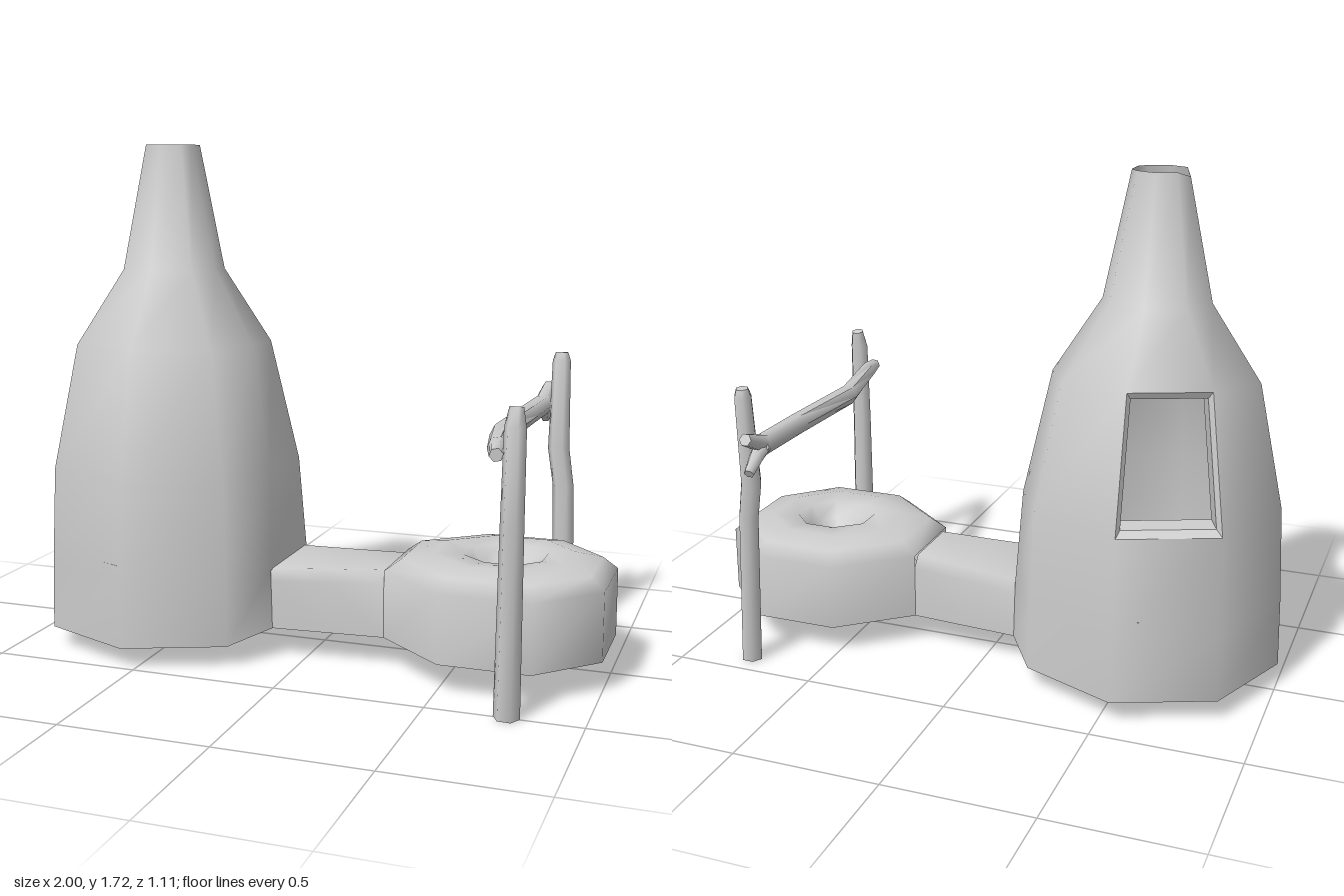
import * as THREE from 'three';
import { toCreasedNormals } from 'three/addons/utils/BufferGeometryUtils.js';

const clay = new THREE.MeshStandardMaterial({ color: 0xcccccc, side: THREE.DoubleSide });
clay.name = 'clay';

// Skin between rings of [x, y, z] points; skip lists 'row,column' cells left open.
function loft(rings, closed = true, skip = []) {
  const n = rings[0].length, index = [];
  for (let i = 0; i < rings.length - 1; i++) {
    for (let j = 0; j < (closed ? n : n - 1); j++) {
      if (skip.includes(`${i},${j}`)) continue;
      const k = (j + 1) % n, a = i * n + j, b = i * n + k;
      index.push(a, a + n, b, b, a + n, b + n);
    }
  }
  const geo = new THREE.BufferGeometry();
  geo.setAttribute('position', new THREE.Float32BufferAttribute(rings.flat(2), 3));
  geo.setIndex(index);
  geo.computeVertexNormals();
  return geo;
}

// Six-sided wooden limb along a path, with closed ends.
function limb(path, radii) {
  const pts = path.map((p) => new THREE.Vector3(...p)), up = new THREE.Vector3(0, 1, 0);
  const last = pts.length - 1;
  const ring = (i, r) => {
    const dir = pts[Math.min(i + 1, last)].clone().sub(pts[Math.max(i - 1, 0)]).normalize();
    const q = new THREE.Quaternion().setFromUnitVectors(up, dir);
    return Array.from({ length: 6 }, (_, k) => {
      const a = k * Math.PI / 3;
      return new THREE.Vector3(r * Math.cos(a), 0, r * Math.sin(a)).applyQuaternion(q).add(pts[i]).toArray();
    });
  };
  const rings = [ring(0, 0), ...pts.map((_, i) => ring(i, radii[i])), ring(last, 0)];
  return toCreasedNormals(loft(rings), 1.1);
}

export function createModel() {
  const group = new THREE.Group();
  const add = (name, geo) => {
    const mesh = new THREE.Mesh(geo, clay);
    mesh.name = name;
    group.add(mesh);
    return mesh;
  };
  const Z = 0.05; // shared centre line

  // Kiln: octagonal bottle whose +x corner is flattened where the channel joins
  const kx = -0.54;
  const kilnRing = ([y, r, flatR, half]) => [
    [kx + flatR, Math.max(y, 0.1), Z - half], [kx + flatR, Math.max(y, 0.1), Z + half],
    ...Array.from({ length: 7 }, (_, k) => {
      const a = (k + 1) * Math.PI / 4;
      return [kx + r * Math.cos(a), y, Z + r * Math.sin(a)];
    }),
  ];
  const kiln = [
    [0.07, 0.46, 0.43, 0.175], [0.3, 0.455, 0.425, 0.175], [0.63, 0.44, 0.41, 0.14],
    [1.05, 0.35, 0.33, 0.08], [1.3, 0.18, 0.175, 0.04], [1.72, 0.092, 0.09, 0.035],
  ].map(kilnRing);
  kiln[5][5][1] = 1.7; // worn chimney lip
  kiln[3][6][1] = kiln[3][7][1] = 1.08; // raised window head
  add('kiln', loft(kiln, true, ['0,0', '2,6']));

  // Window reveal: the open cell narrows and runs inwards
  const corners = [kiln[2][6], kiln[3][6], kiln[3][7], kiln[2][7]].map((p) => new THREE.Vector3(...p));
  const mid = corners.reduce((s, p) => s.add(p), new THREE.Vector3()).multiplyScalar(0.25);
  const inward = new THREE.Vector3(Math.cos(Math.PI * 3 / 8), 0, Math.sin(Math.PI * 3 / 8));
  const frame = [[1, 0], [0.9, 0.015], [0.87, 0.08]].map(([s, d]) =>
    corners.map((p) => p.clone().sub(mid).multiplyScalar(s).add(mid).addScaledVector(inward, d).toArray()));
  add('windowReveal', toCreasedNormals(loft(frame), 0.7));

  // Chamber floor inside the kiln
  const floor = add('chamberFloor', new THREE.CircleGeometry(0.45, 8).rotateX(-Math.PI / 2));
  floor.scale.x = 0.96;
  floor.position.set(kx - 0.01, 0.35, Z);

  // Channel between kiln and hearth, open below
  const section = ([x, half, top, cap]) => [
    [x, 0.1, Z + half], [x, top - 0.04, Z + half], [x, top, Z + cap],
    [x, top, Z - cap], [x, top - 0.04, Z - half], [x, 0.1, Z - half],
  ];
  add('channel', loft([[-0.12, 0.175, 0.305, 0.16], [0.08, 0.16, 0.315, 0.135], [0.275, 0.145, 0.325, 0.115]].map(section), false));

  // Hearth: low octagonal ring with a sunken bowl
  const hx = 0.645;
  const plan = [[0.355, 0.145], [0.165, 0.34], [-0.135, 0.34], [-0.37, 0.145],
    [-0.37, -0.145], [-0.135, -0.34], [0.165, -0.34], [0.355, -0.145]];
  const hearth = [[1, 0.1], [1, 0.33], [0.86, 0.37], [0.6, 0.39], [0.36, 0.385], [0.25, 0.335], [0.001, 0.21]]
    .map(([s, y]) => plan.map(([x, z]) => [hx + 0.015 * (1 - s) + x * s, y, Z + z * s]));
  add('hearth', loft(hearth, true, ['0,3']));

  // Two posts and the forked crossbar
  add('frontPost', limb([[0.76, 0, 0.5], [0.77, 0.6, 0.525], [0.775, 0.9, 0.53], [0.775, 0.96, 0.517]],
    [0.042, 0.037, 0.034, 0.022]));
  add('backPost', limb([[0.765, 0, -0.415], [0.755, 0.53, -0.402], [0.735, 0.66, -0.408], [0.733, 0.97, -0.435], [0.733, 1, -0.438]],
    [0.038, 0.037, 0.038, 0.032, 0.022]));
  add('crossbar', limb([[0.725, 0.82, 0.555], [0.705, 0.825, 0.45], [0.655, 0.81, 0.18], [0.665, 0.812, -0.2], [0.67, 0.81, -0.45]],
    [0.022, 0.032, 0.036, 0.036, 0.036]));
  add('upperFork', limb([[0.67, 0.81, -0.42], [0.67, 0.835, -0.48], [0.67, 0.86, -0.54]], [0.034, 0.028, 0.022]));
  add('lowerFork', limb([[0.67, 0.81, -0.42], [0.665, 0.785, -0.48], [0.66, 0.745, -0.545]], [0.032, 0.026, 0.018]));
  return group;
}
